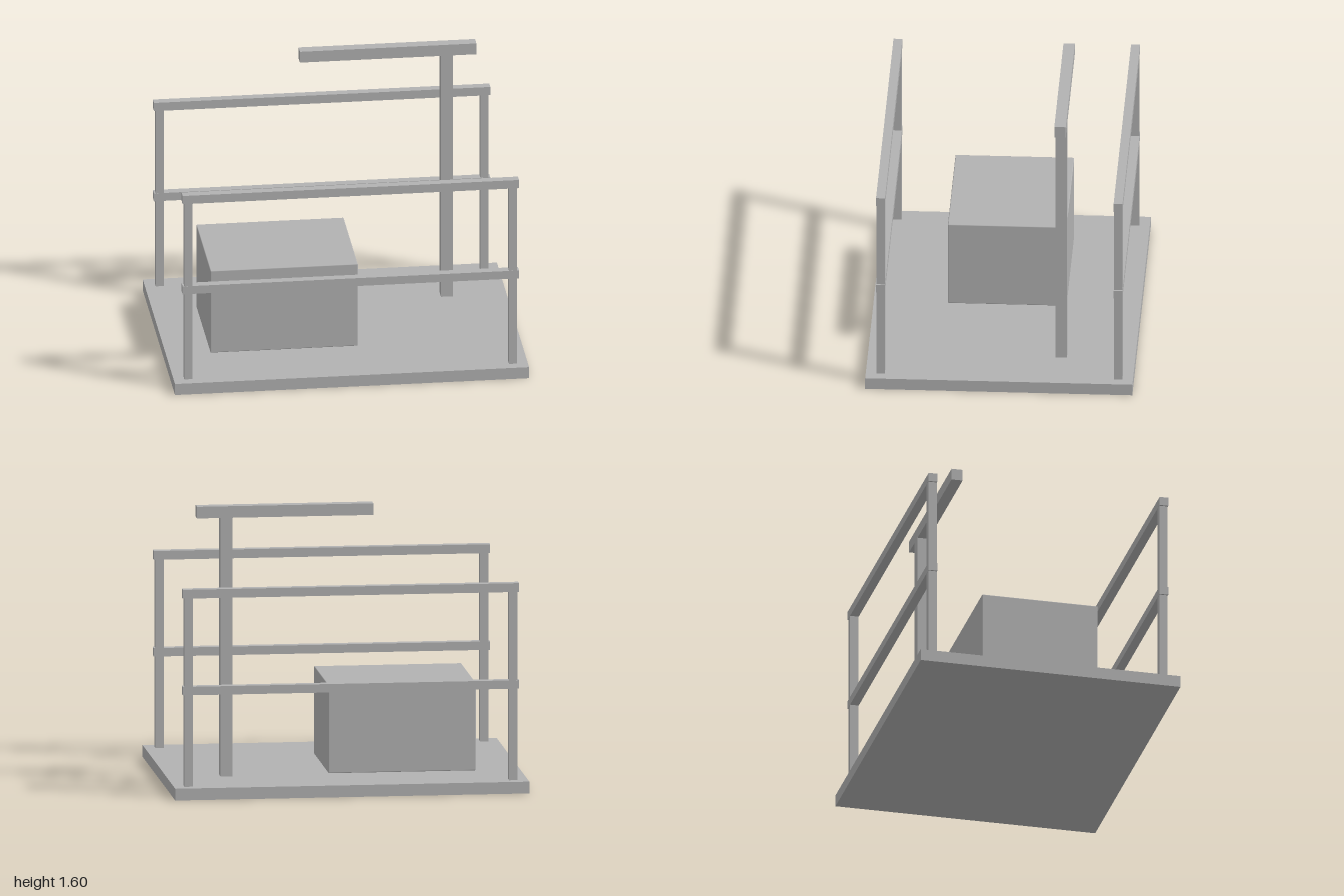
import * as THREE from 'three';
import { RoundedBoxGeometry } from 'three/addons/geometries/RoundedBoxGeometry.js';

export function createModel() {
  const model = new THREE.Group();
  model.name = 'loadingPlatform';
  const grey = new THREE.MeshStandardMaterial({ color: 0xb2b2b2 });
  grey.name = 'plain grey';

  const add = (name, geometry, x, y, z) => {
    const mesh = new THREE.Mesh(geometry, grey);
    mesh.name = name;
    mesh.position.set(x, y, z);
    model.add(mesh);
  };
  // Box given by its lower and upper limits on each axis
  const block = (name, [x0, x1], [y0, y1], [z0, z1]) =>
    add(name, new THREE.BoxGeometry(x1 - x0, y1 - y0, z1 - z0),
      (x0 + x1) / 2, (y0 + y1) / 2, (z0 + z1) / 2);

  const deckTop = 0.067;
  block('deck', [-1, 1], [0, deckTop], [-0.75, 0.75]);

  // Crate with slightly softened edges
  add('crate', new RoundedBoxGeometry(0.833, 0.5, 0.667, 2, 0.005), -0.333, deckTop + 0.25, 0);

  // Hoist column and overhanging arm
  const hoistZ = [-0.367, -0.303];
  block('hoistColumn', [0.63, 0.697], [deckTop, 1.537], hoistZ);
  block('hoistArm', [-0.167, 0.83], [1.537, 1.603], hoistZ);

  // Guard rails along the front and back
  for (const [label, side] of [['front', 1], ['back', -1]]) {
    const z = [side * 0.667 - 0.025, side * 0.667 + 0.025];
    block(label + 'TopRail', [-0.95, 0.95], [1.137, 1.187], z);
    block(label + 'MiddleRail', [-0.95, 0.95], [0.587, 0.635], z);
    for (const [end, x] of [['Left', 0.917], ['Right', -0.917]]) {
      block(label + end + 'Post', [x - 0.023, x + 0.023], [deckTop, 1.137],
        [side * 0.667 - 0.024, side * 0.667 + 0.024]);
    }
  }
  return model;
}
